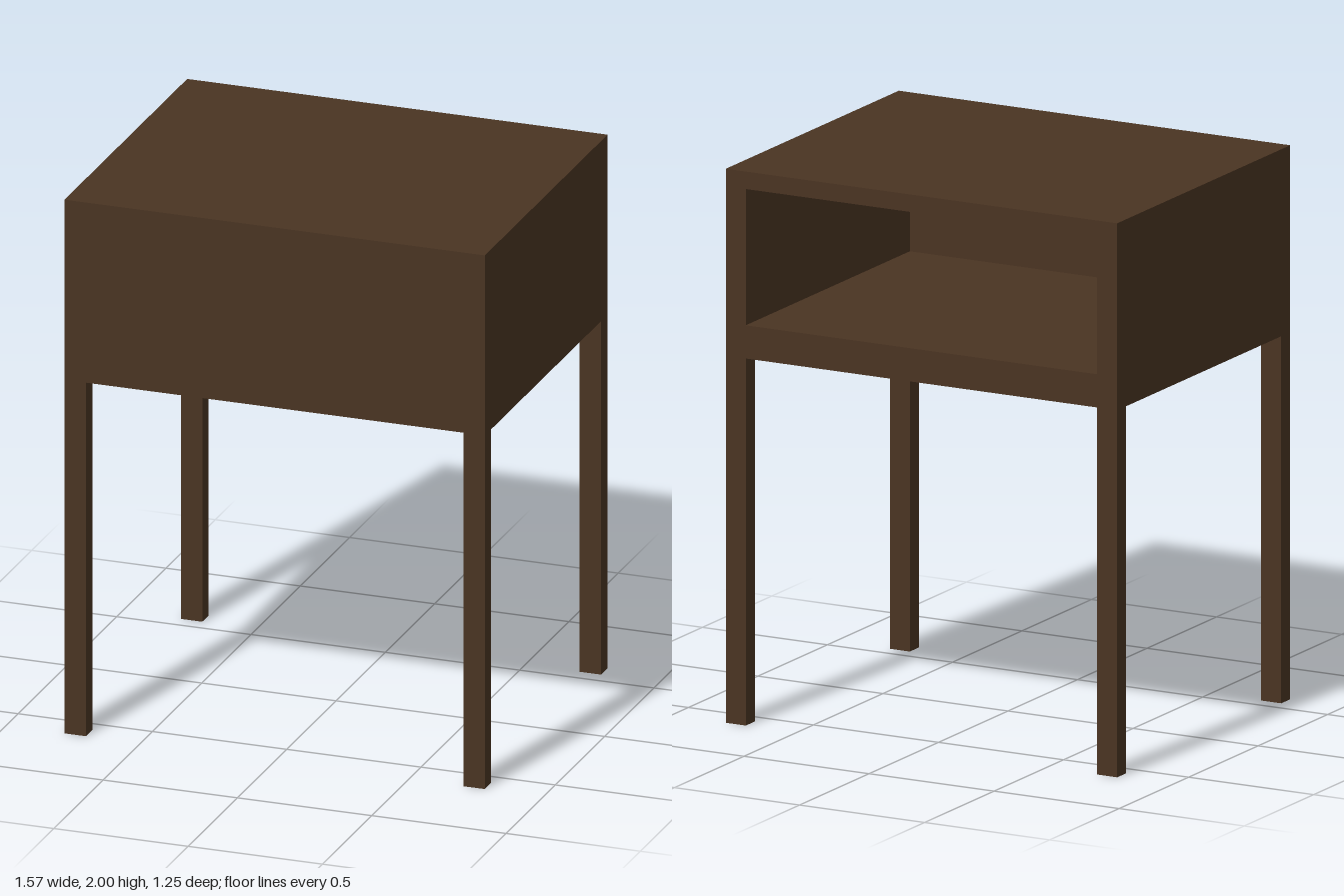
import * as THREE from 'three';

export function createModel() {
  const model = new THREE.Group();
  const wood = new THREE.MeshStandardMaterial({ color: 0x4a3422 });
  wood.name = 'dark wood';

  const W = 1.565, D = 1.245, H = 2;        // overall size
  const caseY = 1.325;                      // underside of the case
  const side = 0.08, front = 0.065;         // wall thicknesses, also the leg section
  const shelfY = 1.445, ceilingY = 1.937;   // compartment floor and ceiling

  // Box given by its lower and upper limits
  function block(name, x0, x1, y0, y1, z0, z1, parent = model) {
    const mesh = new THREE.Mesh(new THREE.BoxGeometry(x1 - x0, y1 - y0, z1 - z0), wood);
    mesh.position.set((x0 + x1) / 2, (y0 + y1) / 2, (z0 + z1) / 2);
    mesh.name = name;
    parent.add(mesh);
  }

  // Case, open at the back
  const body = new THREE.Group();
  body.name = 'case';
  model.add(body);
  const x = W / 2, z = D / 2;
  block('top', -x, x, ceilingY, H, -z, z, body);
  block('shelf', -x, x, caseY, shelfY, -z, z, body);
  block('frontPanel', -x, x, shelfY, ceilingY, z - front, z, body);
  block('leftSide', x - side, x, shelfY, ceilingY, -z, z - front, body);
  block('rightSide', -x, -x + side, shelfY, ceilingY, -z, z - front, body);

  // Four legs flush with the corners
  for (const [sx, xName] of [[1, 'Left'], [-1, 'Right']]) {
    for (const [sz, zName] of [[1, 'front'], [-1, 'back']]) {
      const cx = sx * (x - side / 2), cz = sz * (z - front / 2);
      block(zName + xName + 'Leg', cx - side / 2, cx + side / 2, 0, caseY, cz - front / 2, cz + front / 2);
    }
  }
  return model;
}
